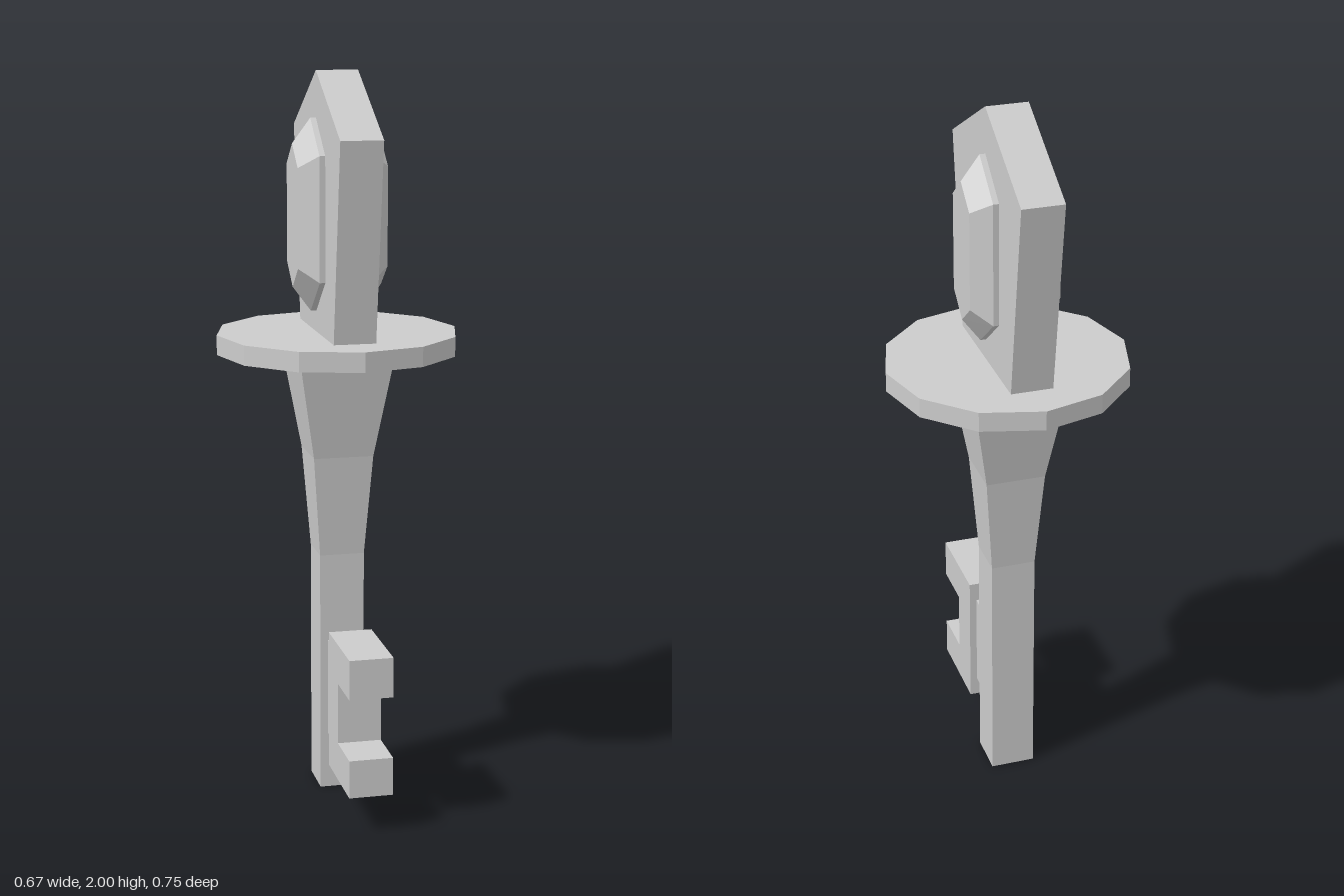
import * as THREE from 'three';
import { ConvexGeometry } from 'three/addons/geometries/ConvexGeometry.js';

const AXIS_Z = -0.037; // shaft axis, offset to balance the key bit

export function createModel() {
  const group = new THREE.Group();
  const grey = new THREE.MeshStandardMaterial({ color: 0xcccccc, flatShading: true });
  grey.name = 'plain grey';

  const add = (name, geometry, z = 0) => {
    const mesh = new THREE.Mesh(geometry, grey);
    mesh.name = name;
    mesh.position.z = z;
    group.add(mesh);
  };

  // Solid turned around the shaft axis, with [radius, y] profile from bottom to top
  const turned = (profile, sides, start = 0) => new THREE.LatheGeometry(
    profile.map(([r, y]) => new THREE.Vector2(r, y)), sides, start).toNonIndexed();

  // Side profile of [z, y] points, extruded across x
  const slab = (profile, width) => {
    const shape = new THREE.Shape(profile.map(([z, y]) => new THREE.Vector2(z, y)));
    const geometry = new THREE.ExtrudeGeometry(shape, { depth: width, bevelEnabled: false });
    return geometry.translate(0, 0, -width / 2).rotateY(-Math.PI / 2);
  };

  // Square shaft flaring up to the guard
  const shaft = [[0, 0], [0.062, 0], [0.062, 0.68], [0.083, 0.96], [0.13, 1.24], [0, 1.24]];
  add('shaft', turned(shaft.map(([h, y]) => [h * Math.SQRT2, y]), 4, Math.PI / 4), AXIS_Z);

  // Twelve-sided guard with a shallow conical underside
  add('guard', turned([[0, 1.222], [0.333, 1.243], [0.333, 1.297], [0, 1.297]], 12), AXIS_Z);

  // Pointed handle plate
  add('handle', slab([[-0.213, 1.28], [0.213, 1.28], [0.293, 1.837], [0, 2], [-0.293, 1.837]], 0.115), AXIS_Z);

  // Bevelled hexagonal gem running through the handle
  const hexagon = (x, halfZ, shoulder, tip) => [-1, 1].flatMap((s) => [
    new THREE.Vector3(x, s * tip, 0),
    new THREE.Vector3(x, s * shoulder, halfZ),
    new THREE.Vector3(x, s * shoulder, -halfZ),
  ]);
  const gem = new ConvexGeometry([-1, 1].flatMap((side) => [
    ...hexagon(side * 0.073, 0.115, 0.168, 0.26),
    ...hexagon(side * 0.123, 0.073, 0.134, 0.193),
  ]));
  add('gem', gem.translate(0, 1.615, 0), AXIS_Z);

  // Narrow neck and notched key bit
  add('bitNeck', new THREE.BoxGeometry(0.08, 0.275, 0.13).translate(0, 0.297, 0.075));
  add('keyBit', slab([[0.125, 0.105], [0.375, 0.105], [0.375, 0.21], [0.238, 0.21],
    [0.238, 0.38], [0.375, 0.38], [0.375, 0.49], [0.125, 0.49]], 0.12));

  return group;
}
